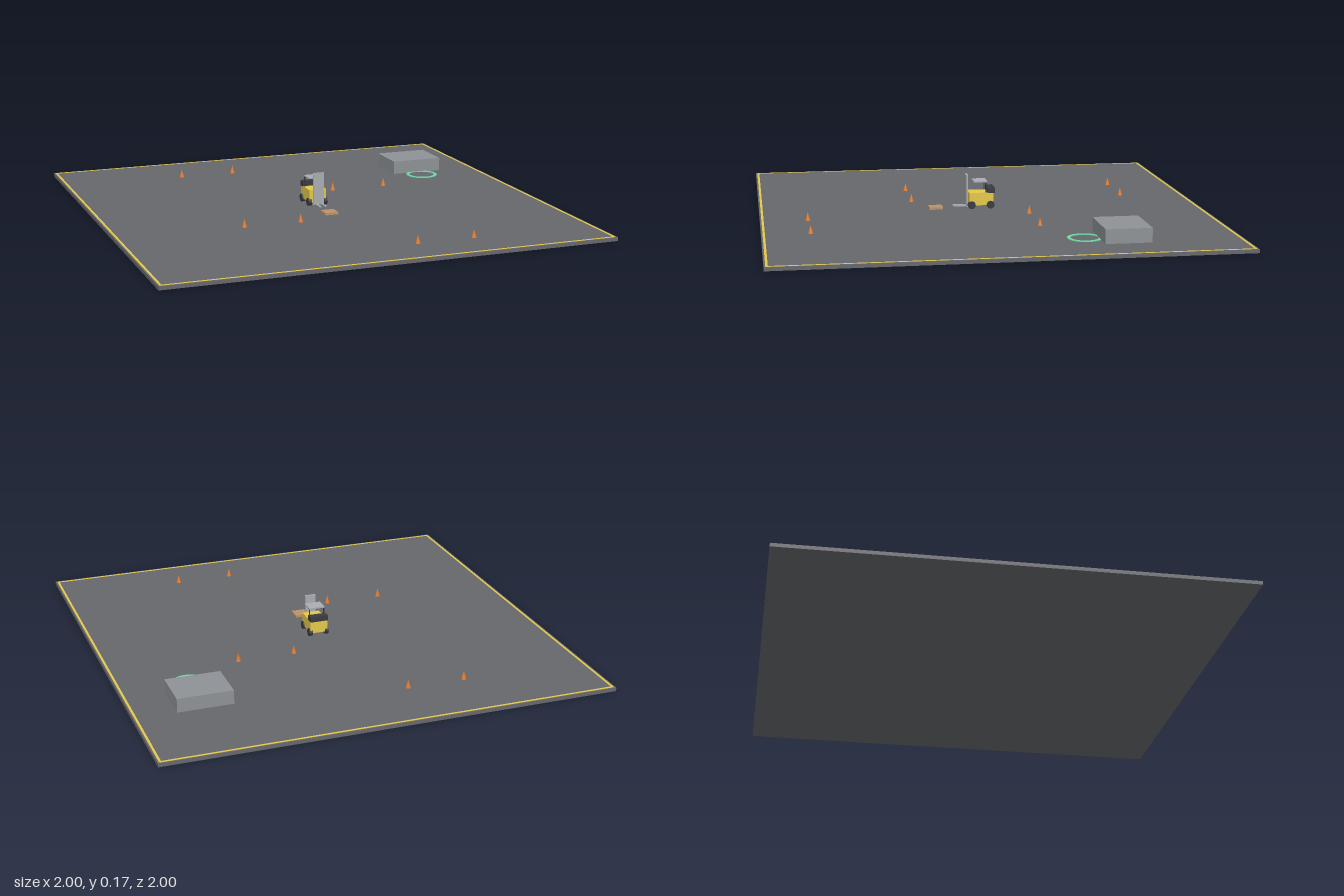
import * as THREE from 'three';

const FLOOR = 0.016;
const mat = (color) => new THREE.MeshStandardMaterial({ color });
const yellow = mat(0xe3c84a), dark = mat(0x3a3b40), steel = mat(0xa9adb3);
const asphalt = mat(0x66676c), orange = mat(0xd9772b), wood = mat(0xb8926a);
const mint = mat(0x6fd6a8), depotGrey = mat(0x8e9296);

function add(parent, name, geometry, material, x, y, z) {
  const mesh = new THREE.Mesh(geometry, material);
  mesh.name = name;
  mesh.position.set(x, y, z);
  parent.add(mesh);
  return mesh;
}

// Box given by its centre in x and z, and its bottom and top heights
function box(parent, name, material, w, d, x, z, y0, y1) {
  return add(parent, name, new THREE.BoxGeometry(w, y1 - y0, d), material, x, (y0 + y1) / 2, z);
}

function makeForklift() {
  const truck = new THREE.Group();
  truck.name = 'forklift';
  box(truck, 'body', yellow, 0.08, 0.112, 0, -0.003, 0.032, 0.09);
  box(truck, 'counterweight', dark, 0.084, 0.034, 0, -0.048, 0.088, 0.112);

  // Wheels
  for (const x of [-0.038, 0.038]) for (const z of [-0.045, 0.042]) {
    const wheel = add(truck, 'wheel', new THREE.CylinderGeometry(0.018, 0.018, 0.016, 16), dark, x, FLOOR + 0.018, z);
    wheel.rotation.z = Math.PI / 2;
  }

  // Overhead guard
  box(truck, 'guardRoof', steel, 0.074, 0.062, 0, 0.001, 0.137, 0.143);
  for (const x of [-0.034, 0.034]) {
    box(truck, 'guardPost', dark, 0.005, 0.005, x, -0.026, 0.09, 0.138);
  }

  // Mast and forks
  box(truck, 'mast', steel, 0.05, 0.008, 0, 0.06, 0.022, 0.17);
  for (const x of [-0.013, 0.013]) {
    box(truck, 'fork', steel, 0.008, 0.062, x, 0.092, 0.025, 0.029);
  }
  return truck;
}

function makeCone() {
  const cone = new THREE.Group();
  cone.name = 'trafficCone';
  add(cone, 'coneBody', new THREE.ConeGeometry(0.012, 0.037, 12), orange, 0, 0.0185, 0);
  return cone;
}

function makePallet() {
  const pallet = new THREE.Group();
  pallet.name = 'pallet';
  box(pallet, 'palletDeck', wood, 0.062, 0.062, 0, 0, FLOOR, 0.026);
  return pallet;
}

export function createModel() {
  const model = new THREE.Group();
  model.name = 'warehouseYard';

  // Floor with painted border
  box(model, 'floor', asphalt, 2, 2, 0, 0, 0, FLOOR);
  for (const s of [-1, 1]) {
    box(model, 'borderLine', yellow, 1.98, 0.01, 0, s * 0.988, FLOOR - 0.002, FLOOR + 0.001);
    box(model, 'borderLine', yellow, 0.01, 1.98, s * 0.988, 0, FLOOR - 0.002, FLOOR + 0.001);
  }

  model.add(makeForklift());

  const pallet = makePallet();
  pallet.position.z = 0.203;
  model.add(pallet);

  // Pairs of cones marking the slalom gates
  for (const [side, z] of [[-1, -0.7], [1, -0.2], [-1, 0.295], [1, 0.79]]) {
    for (const x of [0.17, 0.428]) {
      const cone = makeCone();
      cone.position.set(side * x, FLOOR, z);
      model.add(cone);
    }
  }

  // Depot block and the drop-off ring in front of it
  box(model, 'depotBlock', depotGrey, 0.245, 0.2, 0.692, -0.5, FLOOR, 0.078);
  const ring = new THREE.Shape().absarc(0, 0, 0.075, 0, Math.PI * 2);
  ring.holes.push(new THREE.Path().absarc(0, 0, 0.059, 0, Math.PI * 2, true));
  const ringMesh = add(model, 'dropRing',
    new THREE.ExtrudeGeometry(ring, { depth: 0.003, bevelEnabled: false, curveSegments: 32 }),
    mint, 0.692, FLOOR, -0.34);
  ringMesh.rotation.x = -Math.PI / 2;

  return model;
}
